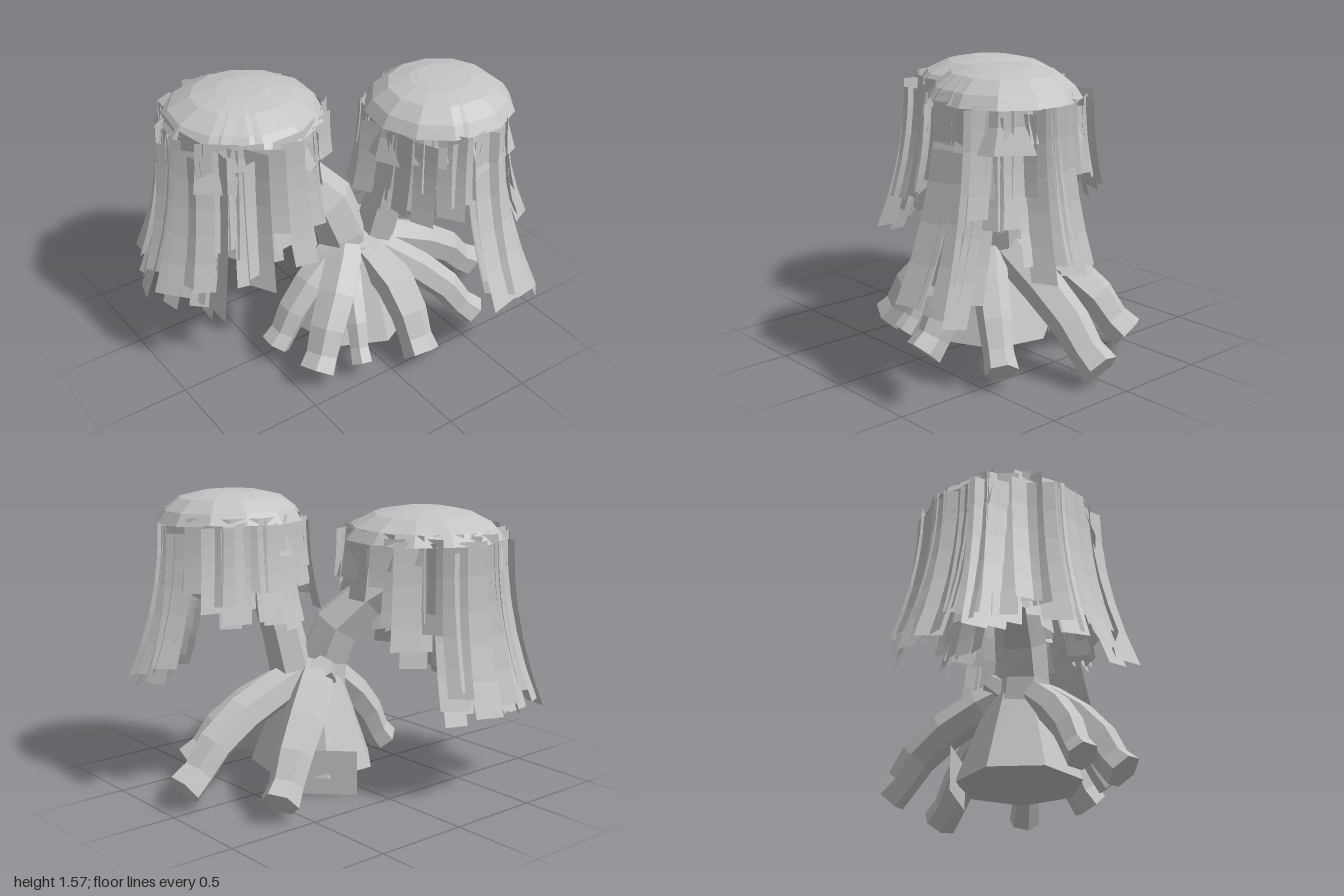
import * as THREE from 'three';

const grey = new THREE.MeshStandardMaterial({ color: 0xc4c4c4, flatShading: true, side: THREE.DoubleSide });
grey.name = 'pale grey';

let seed = 11;
const rand = (a, b) => {
  seed = (seed * 16807) % 2147483647;
  return a + (b - a) * seed / 2147483647;
};

function add(parent, geometry, name) {
  const mesh = new THREE.Mesh(geometry, grey);
  mesh.name = name;
  parent.add(mesh);
  return mesh;
}

function build(positions, index) {
  const g = new THREE.BufferGeometry();
  g.setAttribute('position', new THREE.Float32BufferAttribute(positions, 3));
  g.setIndex(index);
  g.computeVertexNormals();
  return g;
}

// Six-sided limb through points [x, y, z, radius], closed at its tip
function limb(points, sides = 6) {
  const path = points.map(p => new THREE.Vector3(p[0], p[1], p[2]));
  const pos = [], index = [];
  const u = new THREE.Vector3(0.31, 0.2, 0.93);
  path.forEach((p, i) => {
    const dir = path[Math.min(i + 1, path.length - 1)].clone().sub(path[Math.max(i - 1, 0)]).normalize();
    u.addScaledVector(dir, -u.dot(dir)).normalize();
    const v = dir.clone().cross(u);
    for (let k = 0; k < sides; k++) {
      const a = k / sides * Math.PI * 2, r = points[i][3];
      const q = p.clone().addScaledVector(u, Math.cos(a) * r).addScaledVector(v, Math.sin(a) * r);
      pos.push(q.x, q.y, q.z);
      if (i === 0) continue;
      const n = (k + 1) % sides, lo = (i - 1) * sides, hi = i * sides;
      index.push(lo + k, lo + n, hi + n, lo + k, hi + n, hi + k);
    }
  });
  const last = (path.length - 1) * sides;
  for (let k = 1; k < sides - 1; k++) index.push(last, last + k, last + k + 1);
  return build(pos, index);
}

// Hanging leaf strip, flaring outward as it falls
function strand({ x, z, angle, radius, top, bottom, width, flare, twist, steps }) {
  const pos = [], index = [];
  const ta = angle + twist;
  const tx = Math.cos(ta) * width / 2, tz = -Math.sin(ta) * width / 2;
  for (let i = 0; i <= steps; i++) {
    const y = top + (bottom - top) * i / steps;
    const r = radius + flare * (top - y) ** 2;
    const cx = x + Math.sin(angle) * r, cz = z + Math.cos(angle) * r;
    pos.push(cx - tx, y, cz - tz, cx + tx, y, cz + tz);
    if (i < steps) {
      const a = i * 2;
      index.push(a, a + 2, a + 3, a, a + 3, a + 1);
    }
  }
  return build(pos, index);
}

// Dome, short skirt panels and long strands; sectors are [from, to, count, lowest, highest] in degrees
function canopy(name, x, z, profile, radius, skirt, top, flare, sectors) {
  const group = new THREE.Group();
  group.name = name;
  const shape = new THREE.LatheGeometry(profile.map(p => new THREE.Vector2(...p)), 12);
  // Two overlapping leaf layers
  for (const turn of [0.1, 0.2]) {
    const dome = add(group, shape, 'dome');
    dome.position.set(x, 0, z);
    dome.rotation.set(rand(-0.02, 0.02), turn, rand(-0.02, 0.02));
  }
  for (let i = 0; i < 14; i++) {
    add(group, strand({
      x, z, angle: i / 14 * Math.PI * 2 + rand(-0.1, 0.1), radius: radius - 0.03,
      top: top + 0.03, bottom: skirt + rand(-0.07, 0.07), width: rand(0.16, 0.22),
      flare: 0.9, twist: rand(-0.3, 0.3), steps: 2,
    }), 'skirtPanel');
  }
  for (const [from, to, count, low, high] of sectors) {
    for (let i = 0; i < count; i++) {
      const deg = from + (to - from) * (i + 0.5) / count + rand(-3, 3);
      add(group, strand({
        x, z, angle: THREE.MathUtils.degToRad(deg), radius: radius + rand(-0.05, 0.02),
        top: top + rand(-0.06, 0.02), bottom: rand(low, high), width: rand(0.1, 0.16),
        flare, twist: rand(-0.8, 0.8), steps: 5,
      }), 'leafStrand');
    }
  }
  return group;
}

export function createModel() {
  const tree = new THREE.Group();
  tree.name = 'willowTree';

  // Flared trunk base and a flat slab against its back
  const base = add(tree, new THREE.CylinderGeometry(0.15, 0.34, 0.52, 7), 'trunkBase');
  base.position.set(0.06, 0.35, 0.05);
  const slab = add(tree, new THREE.PlaneGeometry(0.35, 0.24), 'backSlab');
  slab.position.set(0.22, 0.12, -0.23);
  slab.rotation.y = Math.PI * 0.75;

  // Two main branches and a cut stub
  add(tree, limb([[0.03, 0.45, 0.03, 0.15], [0, 0.66, 0.03, 0.14], [-0.05, 0.84, -0.02, 0.14],
    [-0.17, 0.99, -0.13, 0.12], [-0.3, 1.11, -0.27, 0.11], [-0.37, 1.34, -0.32, 0.08]]), 'rightBranch');
  add(tree, limb([[0.09, 0.45, 0.05, 0.13], [0.18, 0.6, 0.08, 0.12], [0.22, 0.85, 0.12, 0.11],
    [0.29, 1.08, 0.17, 0.09], [0.4, 1.45, 0.27, 0.06]]), 'leftBranch');
  add(tree, limb([[0.02, 0.52, 0.02, 0.1], [0.09, 0.61, -0.06, 0.08], [0.13, 0.65, -0.1, 0.065]]), 'branchStub');

  // Arching roots: [tip x, tip z, thickness, sideways bend]
  const roots = [
    [-0.4, 0.37, 0.11, 0.03], [-0.17, 0.46, 0.065, -0.02], [0.14, 0.58, 0.105, 0.05],
    [0.6, 0.46, 0.09, -0.03], [0.89, 0.07, 0.105, -0.03], [0.64, -0.4, 0.105, 0.03], [-0.46, 0.06, 0.09, 0.02],
  ];
  for (const [tx, tz, r, bend] of roots) {
    const dx = tx - 0.04, dz = tz - 0.03, len = Math.hypot(dx, dz);
    const at = (f, y, k) => {
      const side = bend * Math.sin(f * Math.PI) / len;
      return [0.04 + dx * f + dz * side, y, 0.03 + dz * f - dx * side, r * k];
    };
    add(tree, limb([at(0.03, 0.62, 0.8), at(0.28, 0.53, 1), at(0.55, 0.42, 1.02),
      at(0.77, 0.29, 0.95), at(0.89, 0.17, 0.85), at(1, 0.1, 0.95)]), 'root');
  }

  // Leaf crowns
  tree.add(canopy('rightCrown', -0.38, -0.32,
    [[0.42, 1.33], [0.37, 1.39], [0.25, 1.45], [0.12, 1.475], [0, 1.48]], 0.42, 1.19, 1.35, 0.23,
    [[150, 312, 52, 0.42, 0.62], [312, 340, 6, 0.6, 0.85], [340, 385, 9, 0.68, 0.95],
      [25, 115, 10, 1.0, 1.2], [115, 150, 8, 0.7, 1.0]]));
  tree.add(canopy('leftCrown', 0.42, 0.27,
    [[0.37, 1.42], [0.33, 1.48], [0.25, 1.54], [0.14, 1.565], [0, 1.57]], 0.36, 1.27, 1.43, 0.28,
    [[-2, 28, 10, 0.41, 0.6], [28, 62, 7, 0.85, 1.05], [62, 98, 11, 0.62, 0.72],
      [98, 205, 16, 0.88, 1.15], [205, 358, 22, 0.93, 1.2]]));

  return tree;
}
